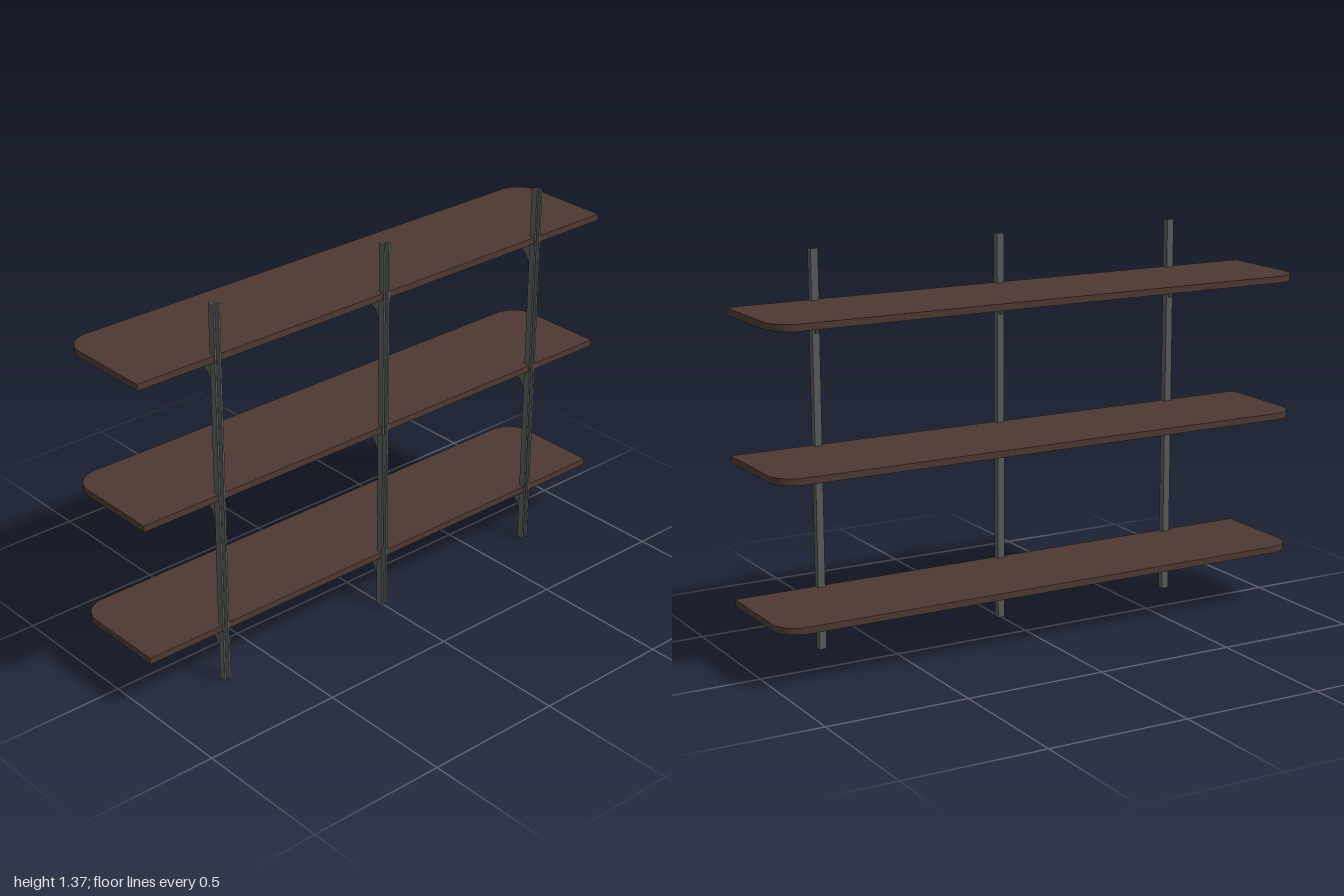
import * as THREE from 'three';

const POSTS = [-0.695, 0, 0.695];
const SHELF_TOPS = [0.219, 0.709, 1.199];
const THICK = 0.023, BACK = -0.195, WALL = 0.193, POST_IN = 0.171, POST_OUT = 0.196;
const POST_W = 0.026, POST_H = 1.37;

// Shelf board: rounded outer corners, notched around each post
function shelfGeometry() {
  const r = 0.09, s = new THREE.Shape();
  s.moveTo(-1, -WALL);
  for (const x of POSTS) {
    const a = x - POST_W / 2, b = x + POST_W / 2;
    s.lineTo(a, -WALL);
    s.lineTo(a, -POST_IN);
    s.lineTo(b, -POST_IN);
    s.lineTo(b, -WALL);
  }
  s.lineTo(1, -WALL);
  s.lineTo(1, -BACK - r);
  s.absarc(1 - r, -BACK - r, r, 0, Math.PI / 2, false);
  s.lineTo(-1 + r, -BACK);
  s.absarc(-1 + r, -BACK - r, r, Math.PI / 2, Math.PI, false);
  s.closePath();
  return new THREE.ExtrudeGeometry(s, { depth: THICK, bevelEnabled: false, curveSegments: 10 })
    .rotateX(-Math.PI / 2);
}

// Upright: U-shaped channel open towards the wall (+z)
function postGeometry() {
  const h = POST_W / 2, t = 0.007;
  const s = new THREE.Shape([
    [-h, -POST_OUT], [-h + t, -POST_OUT], [-h + t, -POST_IN - 0.01], [h - t, -POST_IN - 0.01],
    [h - t, -POST_OUT], [h, -POST_OUT], [h, -POST_IN], [-h, -POST_IN],
  ].map(([x, y]) => new THREE.Vector2(x, y)));
  return new THREE.ExtrudeGeometry(s, { depth: POST_H, bevelEnabled: false }).rotateX(-Math.PI / 2);
}

// Bracket: slim curved arm under a shelf; profile is (-z, y) below the board
function bracketGeometry() {
  const w = 0.012;
  const s = new THREE.Shape([
    [-0.172, 0], [-0.172, -0.086], [-0.164, -0.086], [-0.148, -0.052], [-0.115, -0.03],
    [-0.075, -0.019], [0.16, -0.007], [0.16, 0],
  ].map(([x, y]) => new THREE.Vector2(x, y)));
  return new THREE.ExtrudeGeometry(s, { depth: w, bevelEnabled: false })
    .translate(0, 0, -w / 2).rotateY(Math.PI / 2);
}

export function createModel() {
  const wood = new THREE.MeshStandardMaterial({ color: 0x4e3932 });
  wood.name = 'darkWood';
  const metal = new THREE.MeshStandardMaterial({ color: 0x585b5b });
  metal.name = 'greyMetal';

  const model = new THREE.Group();
  model.name = 'wallShelf';
  const add = (name, geometry, material, x, y) => {
    const mesh = new THREE.Mesh(geometry, material);
    mesh.name = name;
    mesh.position.set(x, y, 0);
    model.add(mesh);
  };

  const shelf = shelfGeometry(), post = postGeometry(), bracket = bracketGeometry();
  for (const x of POSTS) add('post', post, metal, x, 0);
  for (const top of SHELF_TOPS) {
    add('shelf', shelf, wood, 0, top - THICK);
    for (const x of POSTS) add('bracket', bracket, metal, x, top - THICK);
  }
  return model;
}
